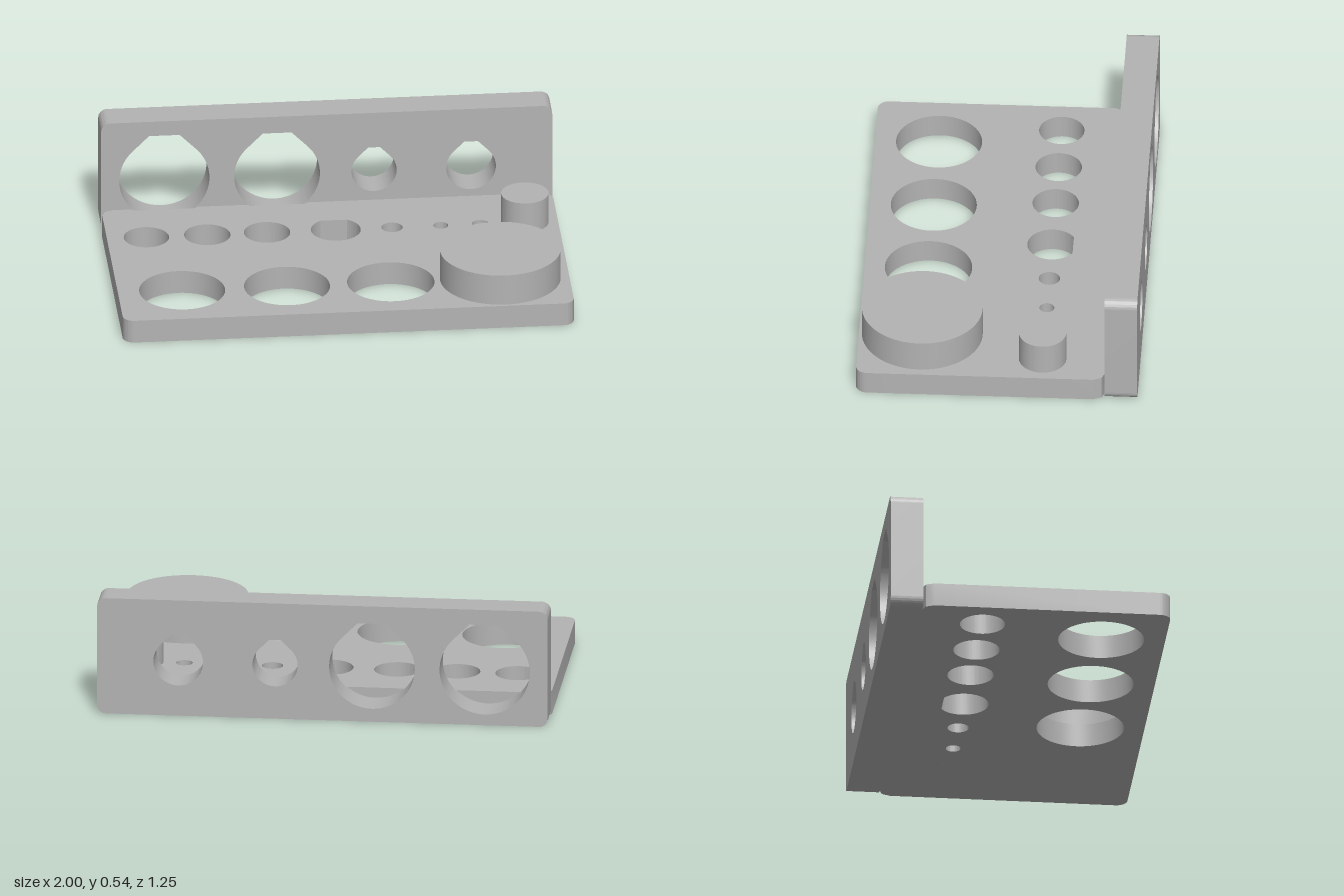
import * as THREE from 'three';
import { toCreasedNormals } from 'three/addons/utils/BufferGeometryUtils.js';

const BASE_H = 0.107, WALL_Y = 0.25;
// side openings: [x, radius]
const WALL_HOLES = [[-0.72, 0.2], [-0.22, 0.19], [0.21, 0.1], [0.64, 0.11]];
// base openings: [x, z, radius]
const BASE_HOLES = [
  [-0.825, -0.2, 0.1], [-0.555, -0.2, 0.1025], [-0.29, -0.2, 0.1025],
  [0.264, -0.2, 0.047], [0.48, -0.2, 0.033], [0.655, -0.2, 0.037],
  [-0.715, 0.337, 0.19], [-0.25, 0.337, 0.19], [0.21, 0.337, 0.193],
];

function extrude(shape, depth) {
  return new THREE.ExtrudeGeometry(shape, { depth, bevelEnabled: false, curveSegments: 48 });
}

export function createModel() {
  const group = new THREE.Group();
  const grey = new THREE.MeshStandardMaterial({ color: 0xb3b3b3 });
  grey.name = 'grey';

  function add(name, geometry, x = 0, y = 0, z = 0) {
    const mesh = new THREE.Mesh(toCreasedNormals(geometry, 0.5), grey);
    mesh.name = name;
    mesh.position.set(x, y, z);
    group.add(mesh);
  }

  // Base plate, drawn in plan with shape y = -z
  const plan = new THREE.Shape();
  plan.moveTo(-0.984, 0.467);
  plan.lineTo(-1, 0.43);
  plan.lineTo(-1, -0.57);
  plan.absarc(-0.95, -0.57, 0.05, Math.PI, Math.PI * 1.5, false);
  plan.absarc(0.95, -0.57, 0.05, -Math.PI / 2, 0, false);
  plan.lineTo(1, 0.43);
  plan.lineTo(0.984, 0.467);
  plan.closePath();
  for (const [x, z, r] of BASE_HOLES) {
    plan.holes.push(new THREE.Path().absarc(x, -z, r, 0, Math.PI * 2, false));
  }
  // Round opening with one flat side
  const cut = Math.asin(0.093 / 0.11);
  const flatHole = new THREE.Path();
  flatHole.absarc(0.015, 0.2, 0.11, Math.PI - cut, Math.PI * 2 + cut, false);
  flatHole.closePath();
  plan.holes.push(flatHole);
  add('basePlate', extrude(plan, BASE_H).rotateX(-Math.PI / 2));

  // Rear edge of the base, scooped where the large wall openings reach into it
  const edge = new THREE.Shape();
  edge.moveTo(-0.984, 0);
  edge.lineTo(0.984, 0);
  edge.lineTo(0.984, BASE_H);
  for (const [x, r] of [WALL_HOLES[1], WALL_HOLES[0]]) {
    const a = Math.asin((WALL_Y - BASE_H) / r);
    edge.absarc(x, WALL_Y, r, -a, -Math.PI + a, true);
  }
  edge.lineTo(-0.984, BASE_H);
  edge.closePath();
  const edgeGeo = extrude(edge, 0.013);
  const p = edgeGeo.attributes.position;
  for (let i = 0; i < p.count; i++) {
    if (p.getZ(i) < 0.001) p.setX(i, THREE.MathUtils.clamp(p.getX(i), -0.95, 0.95));
  }
  add('baseRearEdge', edgeGeo, 0, 0, -0.48);

  // Floor of the blind hole
  add('blindHoleFloor', new THREE.CylinderGeometry(0.037, 0.037, 0.03, 32), 0.655, 0.015, -0.2);

  // Upright wall with rounded corners and flat-topped teardrop openings
  const R = 0.04, H = 0.535;
  const wall = new THREE.Shape();
  wall.absarc(1 - R, R, R, -Math.PI / 2, 0, false);
  wall.absarc(1 - R, H - R, R, 0, Math.PI / 2, false);
  wall.absarc(-1 + R, H - R, R, Math.PI / 2, Math.PI, false);
  wall.absarc(-1 + R, R, R, Math.PI, Math.PI * 1.5, false);
  wall.closePath();
  for (const [x, r] of WALL_HOLES) {
    const top = r + 0.015, half = r * Math.SQRT2 - top;
    const hole = new THREE.Path();
    hole.absarc(x, WALL_Y, r, Math.PI * 0.75, Math.PI * 2.25, false);
    hole.lineTo(x + half, WALL_Y + top);
    hole.lineTo(x - half, WALL_Y + top);
    hole.closePath();
    wall.holes.push(hole);
  }
  add('backWall', extrude(wall, 0.145), 0, 0, -0.625);

  // Raised round posts
  const postH = 0.25 - BASE_H, postY = BASE_H + postH / 2;
  add('largePost', new THREE.CylinderGeometry(0.267, 0.267, postH, 96), 0.695, postY, 0.34);
  add('smallPost', new THREE.CylinderGeometry(0.105, 0.105, postH, 64), 0.853, postY, -0.2);

  return group;
}
